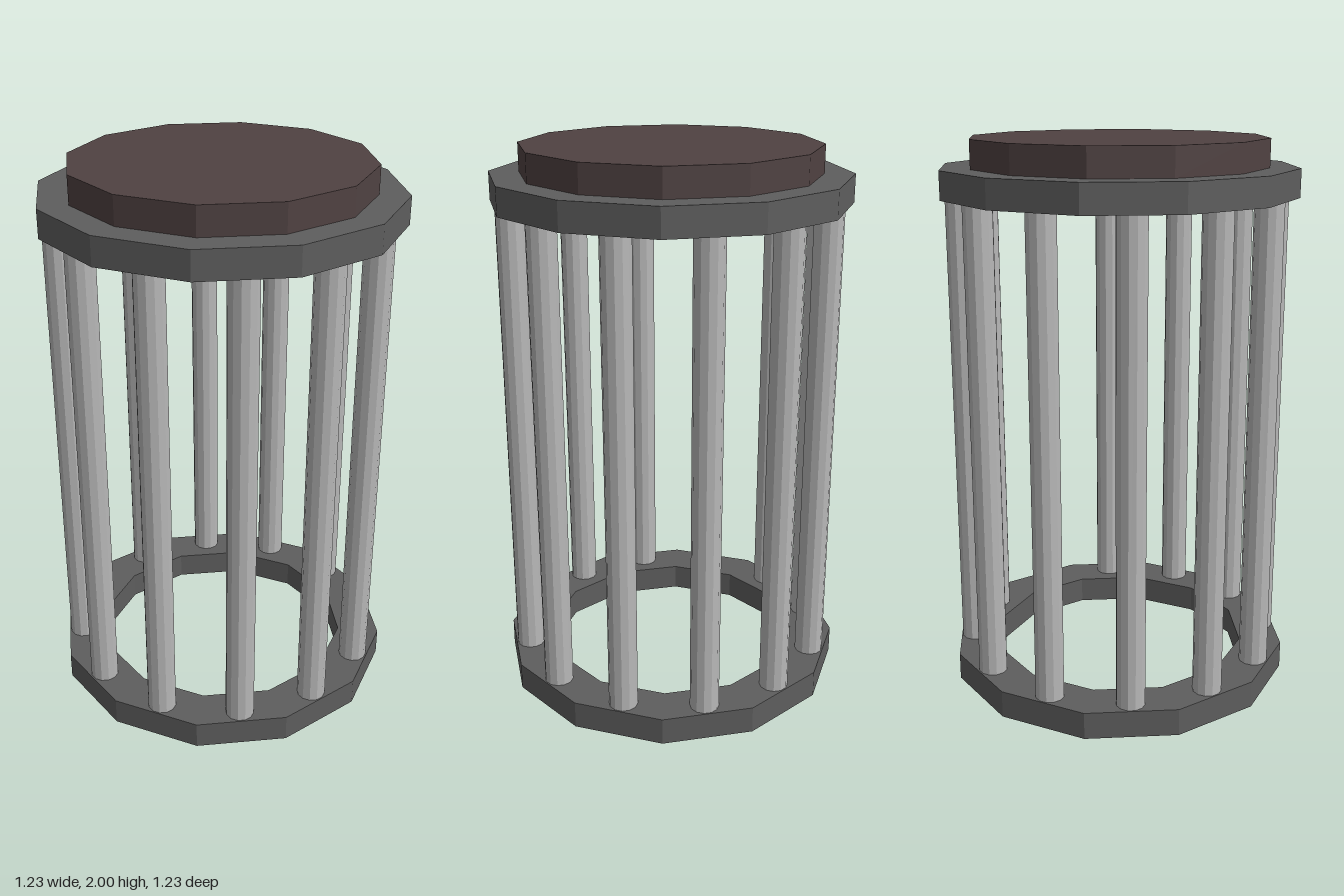
import * as THREE from 'three';

const SIDES = 12;

// Regular polygon points with flat sides facing the axes
function polygon(radius) {
  return Array.from({ length: SIDES }, (_, i) => {
    const a = ((i + 0.5) / SIDES) * Math.PI * 2;
    return new THREE.Vector2(Math.cos(a) * radius, Math.sin(a) * radius);
  });
}

export function createModel() {
  const group = new THREE.Group();
  const darkMetal = new THREE.MeshStandardMaterial({ name: 'dark grey metal', color: 0x5e5e5e, flatShading: true });
  const paleMetal = new THREE.MeshStandardMaterial({ name: 'pale grey metal', color: 0xb8b8b8, flatShading: true });
  const brown = new THREE.MeshStandardMaterial({ name: 'dark brown', color: 0x504242, flatShading: true });

  const add = (name, geometry, material, x, y, z) => {
    const mesh = new THREE.Mesh(geometry, material);
    mesh.name = name;
    mesh.position.set(x, y, z);
    group.add(mesh);
  };

  // Open twelve-sided rings at the bottom and top
  const ringShape = new THREE.Shape(polygon(0.637));
  ringShape.holes.push(new THREE.Path(polygon(0.478)));
  const ring = new THREE.ExtrudeGeometry(ringShape, { depth: 0.1, bevelEnabled: false });
  ring.rotateX(-Math.PI / 2);
  add('bottomRing', ring, darkMetal, 0, 0, 0);
  add('topRing', ring, darkMetal, 0, 1.8, 0);

  // Lid closing the top ring
  const lid = new THREE.CylinderGeometry(0.53, 0.53, 0.1, SIDES);
  lid.rotateY(Math.PI / SIDES);
  add('lid', lid, brown, 0, 1.95, 0);

  // Upright bars between the rings
  const bar = new THREE.CylinderGeometry(0.052, 0.052, 1.7, SIDES);
  bar.rotateY(Math.PI / SIDES);
  for (let i = 0; i < 12; i++) {
    const a = (i / 12) * Math.PI * 2;
    add(`bar${i + 1}`, bar, paleMetal, Math.sin(a) * 0.56, 0.95, Math.cos(a) * 0.56);
  }

  return group;
}
